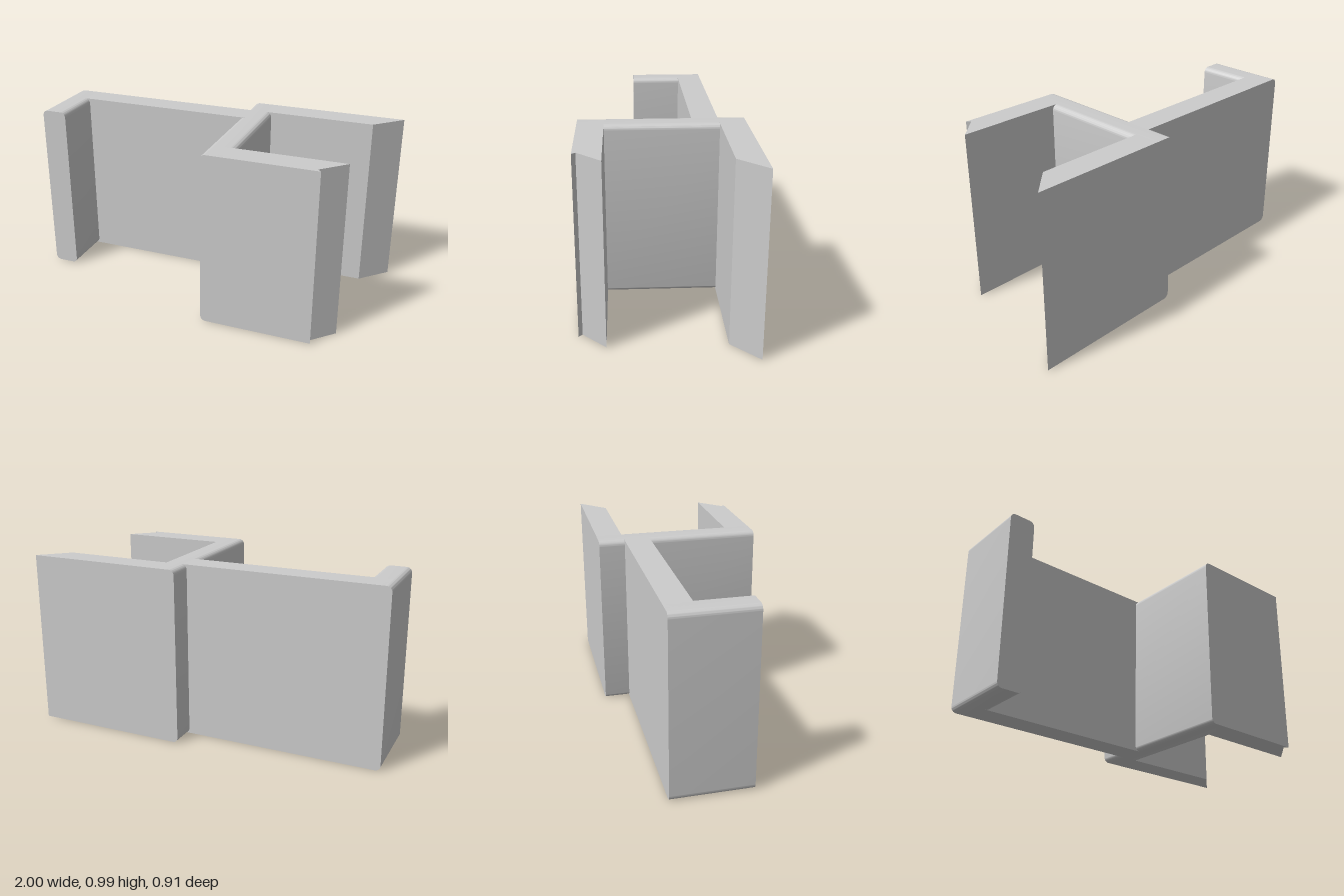
import * as THREE from 'three';
import { toCreasedNormals } from 'three/addons/utils/BufferGeometryUtils.js';

const HEIGHT = 0.99;
const WALL = 0.145;
const RADIUS = 0.03;

export function createModel() {
  const group = new THREE.Group();
  const material = new THREE.MeshStandardMaterial({ color: 0xcccccc });

  function add(name, geometry) {
    const mesh = new THREE.Mesh(toCreasedNormals(geometry, 0.5), material);
    mesh.name = name;
    group.add(mesh);
  }

  // Wall running along z, with its four long edges rounded
  function roundedWall(name, x0, z0, z1) {
    const x1 = x0 + WALL, r = RADIUS;
    const s = new THREE.Shape();
    s.moveTo(x0 + r, 0);
    s.lineTo(x1 - r, 0);
    s.absarc(x1 - r, r, r, -Math.PI / 2, 0);
    s.lineTo(x1, HEIGHT - r);
    s.absarc(x1 - r, HEIGHT - r, r, 0, Math.PI / 2);
    s.lineTo(x0 + r, HEIGHT);
    s.absarc(x0 + r, HEIGHT - r, r, Math.PI / 2, Math.PI);
    s.lineTo(x0, r);
    s.absarc(x0 + r, r, r, Math.PI, Math.PI * 1.5);
    const g = new THREE.ExtrudeGeometry(s, { depth: z1 - z0, bevelEnabled: false, curveSegments: 8 });
    g.translate(0, 0, z0);
    add(name, g);
  }

  // Upright plate given by its plan outline as [x, z] corners
  function plate(name, corners) {
    const s = new THREE.Shape(corners.map(([x, z]) => new THREE.Vector2(x, -z)));
    const g = new THREE.ExtrudeGeometry(s, { depth: HEIGHT, bevelEnabled: false });
    g.rotateX(-Math.PI / 2);
    add(name, g);
  }

  // Return lip at the free end and the cross wall of the channel
  roundedWall('endLip', -1, -0.31, 0.13);
  roundedWall('crossWall', 0.115, -0.455, 0.455);

  // Long plate joining the lip to the cross wall
  plate('longPlate', [[-0.97, -0.31], [0.145, -0.31], [0.145, -0.165], [-0.97, -0.165]]);

  // Channel arms with slanted ends
  plate('backArm', [[0.145, -0.455], [1, -0.455], [0.85, -0.31], [0.145, -0.31]]);
  plate('frontArm', [[0.145, 0.31], [0.85, 0.31], [0.722, 0.435], [0.742, 0.455], [0.145, 0.455]]);

  return group;
}
